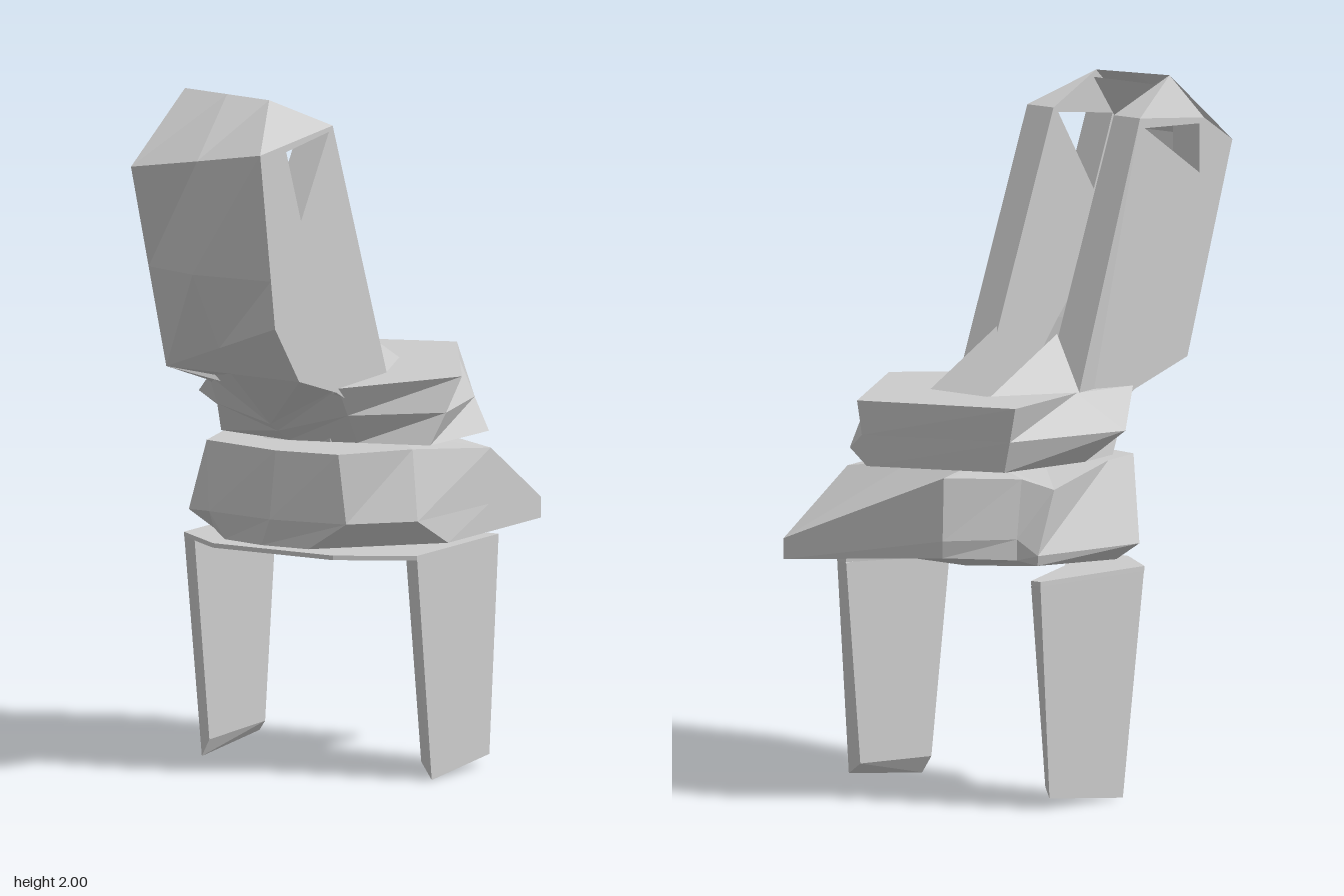
import * as THREE from 'three';
import { ConvexGeometry } from 'three/addons/geometries/ConvexGeometry.js';

const material = new THREE.MeshStandardMaterial({
  color: 0xcccccc, flatShading: true, side: THREE.DoubleSide,
});

function add(group, name, geometry) {
  const mesh = new THREE.Mesh(geometry, material);
  mesh.name = name;
  group.add(mesh);
}

const hull = (pts) => new ConvexGeometry(pts.map((p) => new THREE.Vector3(...p)));

// Skin through equal-length loops of [x, y, z]; closeLevels joins the last loop to the first.
function loft(loops, closeLevels) {
  const n = loops[0].length;
  const pos = [];
  const levels = closeLevels ? loops.length : loops.length - 1;
  for (let i = 0; i < levels; i++) {
    const lower = loops[i], upper = loops[(i + 1) % loops.length];
    for (let j = 0; j < n; j++) {
      const k = (j + 1) % n;
      pos.push(...lower[j], ...lower[k], ...upper[k], ...lower[j], ...upper[k], ...upper[j]);
    }
  }
  const g = new THREE.BufferGeometry();
  g.setAttribute('position', new THREE.Float32BufferAttribute(pos, 3));
  g.computeVertexNormals();
  return g;
}

// A loop of [x, z] (or [x, z, own y]) at height y.
const level = (y, pts) => pts.map(([x, z, own]) => [x, own ?? y, z]);

// Solid from a polygon in (z, y) with a hole, spanning x0 to x1.
function sideWall(x0, x1, outline, hole) {
  const toPoints = (pts) => pts.map(([z, y]) => new THREE.Vector2(-z, y));
  const shape = new THREE.Shape(toPoints(outline));
  shape.holes.push(new THREE.Path(toPoints(hole)));
  const g = new THREE.ExtrudeGeometry(shape, { depth: x1 - x0, bevelEnabled: false });
  return g.rotateY(Math.PI / 2).translate(x0, 0, 0);
}

export function createModel() {
  const model = new THREE.Group();

  // Legs: tapered thin slabs
  for (const [name, outer, inner] of [['rightLeg', 0.365, 0.33], ['leftLeg', -0.41, -0.375]]) {
    const foot = outer > 0 ? outer : outer + 0.01;
    add(model, name, hull([
      [outer, 0.655, 0.05], [outer, 0.655, -0.39], [inner, 0.64, 0.05], [inner, 0.64, -0.39],
      [foot, 0, -0.03], [foot, 0.03, -0.34], [inner, 0.05, -0.03], [inner, 0.06, -0.33],
    ]));
  }

  // Thin horseshoe plate joining the legs
  const plate = new THREE.Shape([
    [0.365, -0.39], [0.365, 0.05], [0.16, 0.17], [-0.24, 0.17], [-0.41, 0.05], [-0.41, -0.39],
    [-0.375, -0.39], [-0.24, -0.1], [-0.14, 0.03], [0.1, 0.03], [0.2, -0.1], [0.33, -0.39],
  ].map(([x, z]) => new THREE.Vector2(x, -z)));
  add(model, 'legPlate', new THREE.ExtrudeGeometry(plate, { depth: 0.013, bevelEnabled: false })
    .rotateX(-Math.PI / 2).translate(0, 0.642, 0));

  // Lower ring, from outer bottom over the top to the inner bottom; the back right corner slopes down
  const lowerHole = [[-0.03, 0.05], [0.09, 0.01], [0.11, -0.06], [0.12, -0.2], [0.11, -0.35],
    [-0.1, -0.36], [-0.14, -0.33], [-0.16, -0.28], [-0.16, -0.1], [-0.14, 0.06]];
  add(model, 'lowerRing', loft([
    level(0.67, [[-0.06, 0.2], [0.09, 0.19], [0.37, -0.11], [0.37, -0.35], [0.37, -0.61],
      [-0.19, -0.56, 0.72], [-0.33, -0.4, 0.71], [-0.4, -0.39, 0.7], [-0.33, 0.02], [-0.2, 0.17]]),
    level(0.75, [[-0.02, 0.22], [0.21, 0.18], [0.355, 0.03], [0.37, -0.33], [0.37, -0.61, 0.71],
      [-0.2, -0.57, 0.77], [-0.33, -0.4, 0.77], [-0.41, -0.4, 0.73], [-0.4, 0.04, 0.72],
      [-0.24, 0.19]]),
    level(0.95, [[0, 0.22], [0.19, 0.19], [0.32, 0], [0.37, -0.34, 0.91], [0.37, -0.61, 0.73],
      [-0.2, -0.565], [-0.33, -0.38, 0.94], [-0.4, -0.32, 0.91], [-0.3, 0.02], [-0.26, 0.17]]),
    level(0.95, lowerHole),
    level(0.67, lowerHole),
  ], true));

  // Upper ring
  const upperHole = (front) => [[-0.03, front], [0.09, front], [0.09, -0.1], [0.09, -0.3],
    [0, -0.305], [-0.135, -0.31], [-0.14, -0.1], [-0.14, front]];
  add(model, 'upperRing', loft([
    level(0.96, [[-0.03, 0.1], [0.16, 0.04], [0.36, -0.03], [0.37, -0.33], [0.08, -0.58],
      [-0.3, -0.42], [-0.32, -0.1], [-0.28, 0.06]]),
    level(1.05, [[-0.03, 0.16, 0.995], [0.175, 0.115], [0.385, -0.075], [0.31, -0.35],
      [0.085, -0.595], [-0.33, -0.43], [-0.41, -0.03], [-0.25, 0.13]]),
    level(1.15, [[-0.03, 0.2, 1.02], [0.19, 0.19, 1.14], [0.41, -0.12], [0.25, -0.365],
      [0.09, -0.61], [-0.36, -0.44], [-0.27, -0.08], [-0.24, 0.19, 1.14]]),
    level(1.15, upperHole(0.12)),
    level(0.96, upperHole(0.07)),
  ], true));

  // Hood sides: wall with a triangular window, sloping foot behind, faceted cap towards the roof
  const sides = [{
    name: 'right', outer: 0.19, inner: 0.09, footX: 0.19, peak: [0.09, 1.99, 0.4],
    front: [[0.61, 1.87], [0.53, 1.36], [0.4, 1.19]],
    window: [[0.47, 1.86], [0.24, 1.885], [0.39, 1.65]],
  }, {
    name: 'left', outer: -0.24, inner: -0.14, footX: -0.27, peak: [-0.19, 2, 0.4],
    front: [[0.49, 1.875], [0.61, 1.8], [0.42, 1.2]],
    window: [[0.47, 1.86], [0.24, 1.87], [0.47, 1.72]],
  }];
  for (const { name, outer, inner, footX, peak, front, window } of sides) {
    const wall = sideWall(Math.min(outer, inner), Math.max(outer, inner),
      [...front, [0.2, 1.13], [0.14, 1.1], [0, 1.05], [-0.07, 1.15], [0.22, 1.9]], window);
    const p = wall.attributes.position;
    for (let i = 0; i < p.count; i++) {
      const y = p.getY(i), z = p.getZ(i);
      if (Math.abs(p.getX(i) - outer) < 0.001) {
        if (z < -0.05) p.setX(i, footX);
      } else if (z > 0.5 || (y < 1.25 && z > 0.15)) {
        // inner front edge stays behind the hood front
        p.setZ(i, z - 0.06);
      }
    }
    add(model, name + 'HoodWall', wall);
    add(model, name + 'HoodFoot', hull([
      [inner, 1.3, -0.02], [inner, 1.15, -0.3], [footX, 1.15, -0.07], [inner, 1.15, 0],
    ]));
    const [capZ, capY] = front[0];
    add(model, name + 'HoodCap', hull([
      peak, [outer, capY, capZ], [outer, 1.9, 0.22], [inner, 1.9, 0.22],
      [inner, capY - 0.02, capZ - 0.06],
    ]));
  }

  // Hood front and roof: per level outer left, middle, right, then inner right, left
  const hoodLevel = (left, middle, right, y, z) =>
    [left, middle, right, [0.09, y, z], [-0.14, y, z]];
  add(model, 'hoodFront', loft([
    hoodLevel([-0.24, 1.14, 0.19], [-0.03, 1.02, 0.2], [0.19, 1.14, 0.19], 1.1, 0.13),
    hoodLevel([-0.24, 1.2, 0.42], [-0.03, 1.195, 0.41], [0.19, 1.19, 0.4], 1.2, 0.16),
    hoodLevel([-0.24, 1.2, 0.42], [-0.03, 1.278, 0.475], [0.19, 1.36, 0.53], 1.3, 0.24),
    hoodLevel([-0.24, 1.5, 0.515], [-0.06, 1.5, 0.57], [0.19, 1.5, 0.553], 1.5, 0.42),
    hoodLevel([-0.24, 1.8, 0.61], [-0.02, 1.835, 0.61], [0.19, 1.87, 0.61], 1.82, 0.5),
    hoodLevel([-0.19, 2, 0.4], [-0.05, 1.995, 0.4], [0.09, 1.99, 0.4], 1.97, 0.39),
  ], false));

  return model;
}
